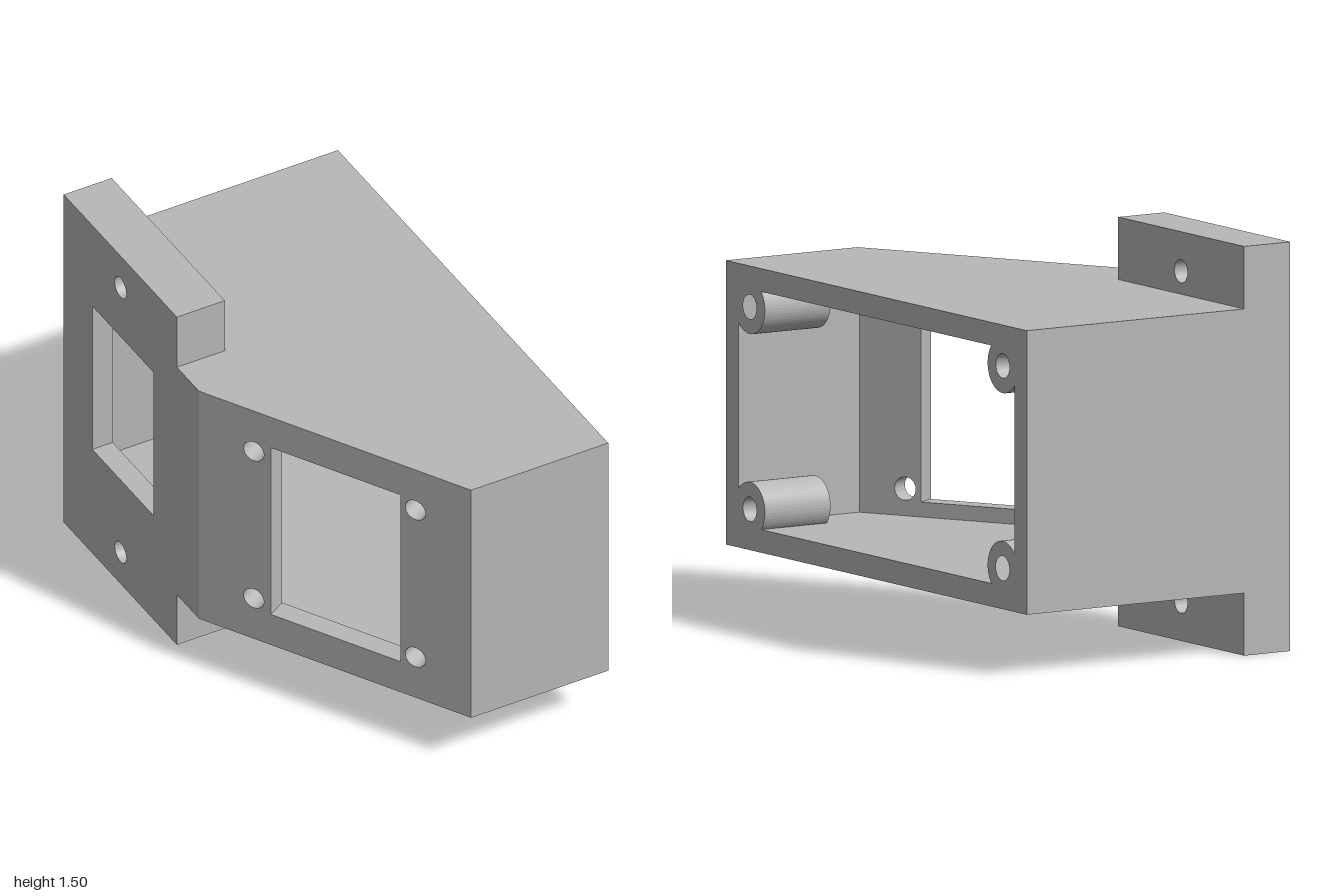
import * as THREE from 'three';

const HALF_W = 0.572, Y0 = 0.23, Y1 = 1.275, WALL = 0.085;
const FLOOR = Y0 + WALL, CEIL = Y1 - WALL;

// Plan corners [x, z] from the open side round the front, slope, left and back
const OUTER = [[HALF_W, 1], [0, 1], [-HALF_W, 0], [-HALF_W, -1], [HALF_W, -1]];
const INNER = [[HALF_W, 0.917], [0.046, 0.917], [-0.487, -0.018], [-0.487, -0.917], [HALF_W, -0.917]];

function rectPath(Type, x0, y0, x1, y1) {
  const p = new Type();
  p.moveTo(x0, y0);
  p.lineTo(x1, y0);
  p.lineTo(x1, y1);
  p.lineTo(x0, y1);
  p.closePath();
  return p;
}

function circlePath(x, y, r) {
  return new THREE.Path().absarc(x, y, r, 0, Math.PI * 2, true);
}

function extrude(shape, depth) {
  return new THREE.ExtrudeGeometry(shape, { depth, bevelEnabled: false, curveSegments: 24 });
}

// Stand a shape upright: its x runs along dir in plan, its depth goes to the side
function stand(geometry, x, z, dx, dz) {
  const m = new THREE.Matrix4().makeBasis(
    new THREE.Vector3(dx, 0, dz), new THREE.Vector3(0, 1, 0), new THREE.Vector3(-dz, 0, dx));
  return geometry.applyMatrix4(m.setPosition(x, 0, z));
}

// Wall between two plan corners, with its inner ends mitred to the inner corners
function wallGeometry(i, holes) {
  const [ax, az] = OUTER[i], [bx, bz] = OUTER[i + 1];
  const len = Math.hypot(bx - ax, bz - az);
  const dx = (bx - ax) / len, dz = (bz - az) / len;
  const along = ([x, z]) => (x - ax) * dx + (z - az) * dz;
  const depth = (INNER[i][0] - ax) * -dz + (INNER[i][1] - az) * dx;
  const shape = rectPath(THREE.Shape, 0, FLOOR, len, CEIL);
  shape.holes.push(...holes);
  const g = extrude(shape, depth);
  const p = g.attributes.position;
  for (let k = 0; k < p.count; k++) {
    if (p.getZ(k) < depth / 2) continue;
    if (p.getX(k) < 1e-4) p.setX(k, along(INNER[i]));
    else if (p.getX(k) > len - 1e-4) p.setX(k, along(INNER[i + 1]));
  }
  return stand(g, ax, az, dx, dz);
}

export function createModel() {
  const model = new THREE.Group();
  const grey = new THREE.MeshStandardMaterial({ color: 0xb8b8b8 });
  grey.name = 'grey plastic';
  const add = (name, geometry) => {
    const mesh = new THREE.Mesh(geometry, grey);
    mesh.name = name;
    model.add(mesh);
  };

  // Floor and roof plates
  for (const [name, y] of [['floorPlate', Y0], ['roofPlate', CEIL]]) {
    const plan = new THREE.Shape(OUTER.map(([x, z]) => new THREE.Vector2(x, -z)));
    add(name, extrude(plan, WALL).rotateX(-Math.PI / 2).translate(0, y, 0));
  }

  // Walls; the sloped one has a window with four screw holes, the left one a window
  const slopeHoles = [rectPath(THREE.Path, 0.3, 0.37, 0.848, 1.135)];
  for (const s of [0.236, 0.92])
    for (const y of [0.415, 1.09]) slopeHoles.push(circlePath(s, y, 0.043));
  add('frontWall', wallGeometry(0, []));
  add('slopedWall', wallGeometry(1, slopeHoles));
  add('leftWall', wallGeometry(2, [rectPath(THREE.Path, 0.335, 0.477, 0.789, 1.135)]));
  add('backWall', wallGeometry(3, []));

  // Mounting tabs above and below the left wall
  for (const [name, y0, y1, hole] of [['lowerTab', 0, Y0, 0.145], ['upperTab', Y1, 1.505, 1.36]]) {
    const tab = rectPath(THREE.Shape, 0.163, y0, 1, y1);
    tab.holes.push(circlePath(0.58, hole, 0.043));
    add(name, stand(extrude(tab, 0.2), -HALF_W, 0, 0, -1));
  }

  // Hollow screw bosses filling the corners of the open side
  const R = 0.1, LENGTH = 0.285, cz = 0.84, midY = (Y0 + Y1) / 2, cy = 0.372;
  const a = 0.917 - cz, b = CEIL - midY - cy;
  for (const sz of [-1, 1]) {
    for (const sy of [-1, 1]) {
      const start = Math.PI - Math.asin(b / R), end = Math.PI * 2 - Math.acos(a / R);
      const pts = [new THREE.Vector2(sz * (cz + a), midY + sy * (cy + b))];
      for (let k = 0; k <= 28; k++) {
        const t = start + (end - start) * k / 28;
        pts.push(new THREE.Vector2(sz * (cz + R * Math.cos(t)), midY + sy * (cy + R * Math.sin(t))));
      }
      const boss = new THREE.Shape(pts);
      boss.holes.push(circlePath(sz * cz, midY + sy * cy, 0.045));
      add('screwBoss', stand(extrude(boss, LENGTH), HALF_W - LENGTH, 0, 0, -1));
    }
  }
  return model;
}
